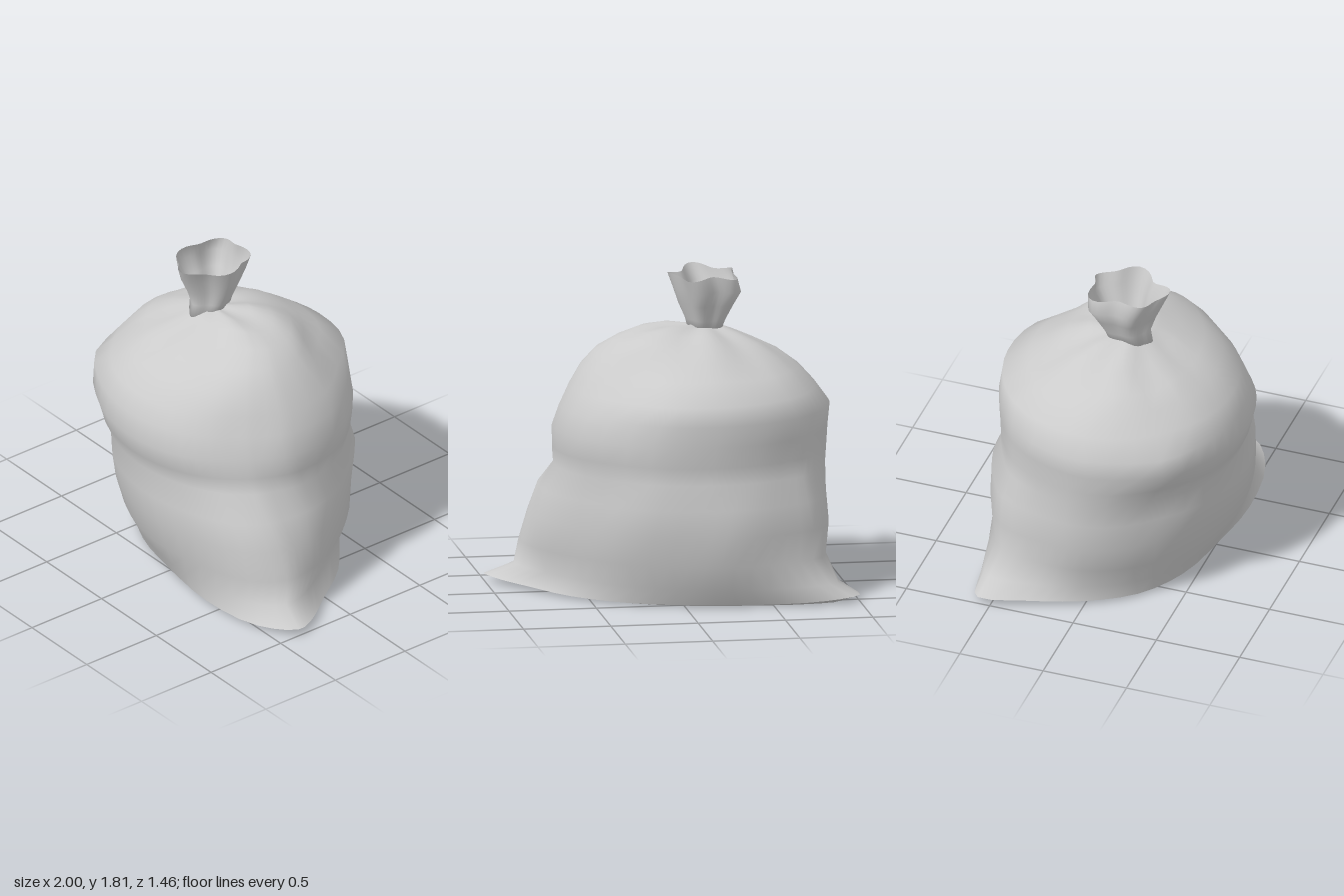
import * as THREE from 'three';

// Outline of the flattened bottom seam (x, z), counter-clockwise from above
const SEAM = [
  [1, 0.36], [0.96, 0.24], [0.8, 0.03], [0.6, -0.23], [0.3, -0.45], [-0.05, -0.57],
  [-0.42, -0.62], [-0.8, -0.63], [-1, -0.57], [-0.93, -0.3], [-0.82, -0.02], [-0.63, 0.25],
  [-0.35, 0.42], [0, 0.5], [0.4, 0.55], [0.8, 0.5],
];
// Outline of the lower belly, point for point
const BELLY = [
  [0.82, 0.29], [0.82, 0.14], [0.77, -0.03], [0.6, -0.29], [0.34, -0.54], [0, -0.68],
  [-0.24, -0.72], [-0.54, -0.64], [-0.78, -0.5], [-0.85, -0.22], [-0.85, 0], [-0.73, 0.25],
  [-0.42, 0.51], [0, 0.63], [0.4, 0.58], [0.7, 0.46],
];
// Oval of the upper bag, at matching angles
const OVAL = SEAM.map(([x, z]) => {
  const zn = (z + 0.04) / 0.59;
  const r = Math.hypot(x, zn);
  return [x / r, zn / r];
});
const STAGES = [SEAM, BELLY, OVAL];
const SEG = 48;

// Local dents (negative) and bulges: centre x, y, z, radius, amount
const DENTS = [
  [0.38, 1.27, -0.4, 0.24, -0.075],
  [0.5, 0.98, 0.4, 0.25, -0.035],
  [0.52, 0.62, -0.4, 0.22, -0.03],
  [-0.68, 0.99, 0.42, 0.16, 0.035],
  [-0.62, 1.2, 0.42, 0.14, -0.03],
  [-0.68, 0.7, 0.4, 0.2, -0.045],
];

// Rescale a ring so it spans exactly the given x and z limits
function fit(points, [x0, x1, z0, z1]) {
  const { min, max } = new THREE.Box3().setFromPoints(points);
  points.forEach((p) => {
    p.x = THREE.MathUtils.mapLinear(p.x, min.x, max.x, x0, x1);
    p.z = THREE.MathUtils.mapLinear(p.z, min.z, max.z, z0, z1);
  });
  return points;
}

// Smooth ring at height y: stage 0 is the seam, 1 the belly, 2 the oval
function bagRing(y, stage, ...limits) {
  const k = Math.min(Math.floor(stage), 1);
  const pts = STAGES[k].map(([x, z], i) => {
    const [x2, z2] = STAGES[k + 1][i];
    return new THREE.Vector3(x, y, z).lerp(new THREE.Vector3(x2, y, z2), stage - k);
  });
  const curve = new THREE.CatmullRomCurve3(pts, true);
  const ring = [];
  for (let i = 0; i < SEG; i++) ring.push(curve.getPoint(i / SEG));
  return fit(ring, limits);
}

// Bottom seam, lifted towards its two pointed corners
function seamRing() {
  const ring = bagRing(0.012, 0, -1, 1, -0.64, 0.56);
  ring.forEach((p) => { p.y += 0.03 * p.x ** 4; });
  return ring;
}

// Pleated ring for the gathered neck
function neckRing(y, pleat, wave, ...limits) {
  const ring = [];
  for (let i = 0; i < SEG; i++) {
    const a = (i / SEG) * Math.PI * 2;
    const r = 1 + pleat * (Math.cos(5 * a + 0.6) + 0.5 * Math.cos(3 * a - 1));
    const lift = wave * (Math.sin(4 * a + 1) - 1);
    ring.push(new THREE.Vector3(Math.cos(a) * r, y + lift, -Math.sin(a) * r));
  }
  return fit(ring, limits);
}

// Push a body point in or out by the nearby dents, then fold the shoulder softly
function crumple(p) {
  const out = new THREE.Vector3(p.x + 0.1, 0, p.z).normalize();
  let push = 0;
  for (const [x, y, z, radius, amount] of DENTS) {
    const d = Math.hypot(p.x - x, p.y - y, p.z - z) / radius;
    push += amount * Math.exp(-d * d);
  }
  p.addScaledVector(out, push);
  const strength = THREE.MathUtils.smoothstep(p.y, 1.2, 1.4);
  const a = Math.atan2(p.z - 0.06, p.x + 0.2);
  const near = THREE.MathUtils.smoothstep(Math.hypot(p.x + 0.2, p.z - 0.06), 0.08, 0.25);
  p.y += strength * near * (0.01 * Math.sin(7 * a) + 0.02 * Math.cos(a + 0.4) - 0.005);
}

// Skin a stack of rings
function loft(name, rings, side = THREE.FrontSide) {
  const index = [];
  for (let i = 0; i < rings.length - 1; i++) {
    for (let j = 0; j < SEG; j++) {
      const a = i * SEG + j, b = i * SEG + ((j + 1) % SEG);
      index.push(a, b, b + SEG, a, b + SEG, a + SEG);
    }
  }
  const geo = new THREE.BufferGeometry().setFromPoints(rings.flat());
  geo.setIndex(index);
  geo.computeVertexNormals();
  const mesh = new THREE.Mesh(geo, new THREE.MeshStandardMaterial({ color: 0xcccccc, side }));
  mesh.name = name;
  return mesh;
}

export function createModel() {
  const bag = new THREE.Group();
  bag.name = 'tiedSack';

  // Body: height, outline stage, x limits, z limits
  const body = [
    [0.11, 0.4, -0.89, 0.84, -0.67, 0.57],
    [0.25, 0.9, -0.85, 0.82, -0.71, 0.63],
    [0.42, 1.1, -0.89, 0.77, -0.73, 0.66],
    [0.58, 1.35, -0.88, 0.72, -0.73, 0.68],
    [0.72, 1.65, -0.88, 0.65, -0.68, 0.66],
    [0.82, 1.8, -0.89, 0.66, -0.69, 0.7],
    [0.94, 1.9, -0.9, 0.66, -0.7, 0.73],
    [1.06, 2, -0.91, 0.62, -0.7, 0.7],
    [1.17, 2, -0.83, 0.57, -0.69, 0.65],
    [1.28, 2, -0.74, 0.5, -0.54, 0.54],
    [1.36, 2, -0.65, 0.42, -0.42, 0.43],
    [1.43, 2, -0.53, 0.32, -0.32, 0.28],
    [1.48, 2, -0.4, 0.2, -0.2, 0.18],
    [1.5, 2, -0.31, 0.06, -0.1, 0.13],
    [1.5, 2, -0.2, -0.2, 0.06, 0.06],
  ].map((level) => bagRing(...level));
  body.flat().forEach(crumple);
  bag.add(loft('body', [seamRing(), ...body]));

  // Underside, nearly flat
  bag.add(loft('base', [
    bagRing(0, 0, 0, 0, 0, 0),
    bagRing(0, 0, -0.5, 0.5, -0.33, 0.28),
    bagRing(0.002, 0, -0.89, 0.87, -0.6, 0.52),
    seamRing(),
  ]));

  // Gathered neck flaring to an open, ruffled mouth
  const neck = [
    neckRing(1.53, 0, 0, -0.2, -0.2, 0.06, 0.06),
    neckRing(1.47, 0.06, 0, -0.3, -0.12, -0.06, 0.2),
    neckRing(1.54, 0.08, 0, -0.32, -0.1, -0.08, 0.18),
    neckRing(1.63, 0.1, 0, -0.36, -0.06, -0.12, 0.21),
    neckRing(1.72, 0.11, 0.005, -0.4, -0.03, -0.16, 0.25),
    neckRing(1.81, 0.12, 0.012, -0.38, 0, -0.17, 0.29),
  ];
  // Front fold drooping over the shoulder
  neck[1].forEach((p) => { p.y -= 0.045 * THREE.MathUtils.smoothstep(p.z, 0.06, 0.2); });
  bag.add(loft('gatheredNeck', neck, THREE.DoubleSide));

  return bag;
}
